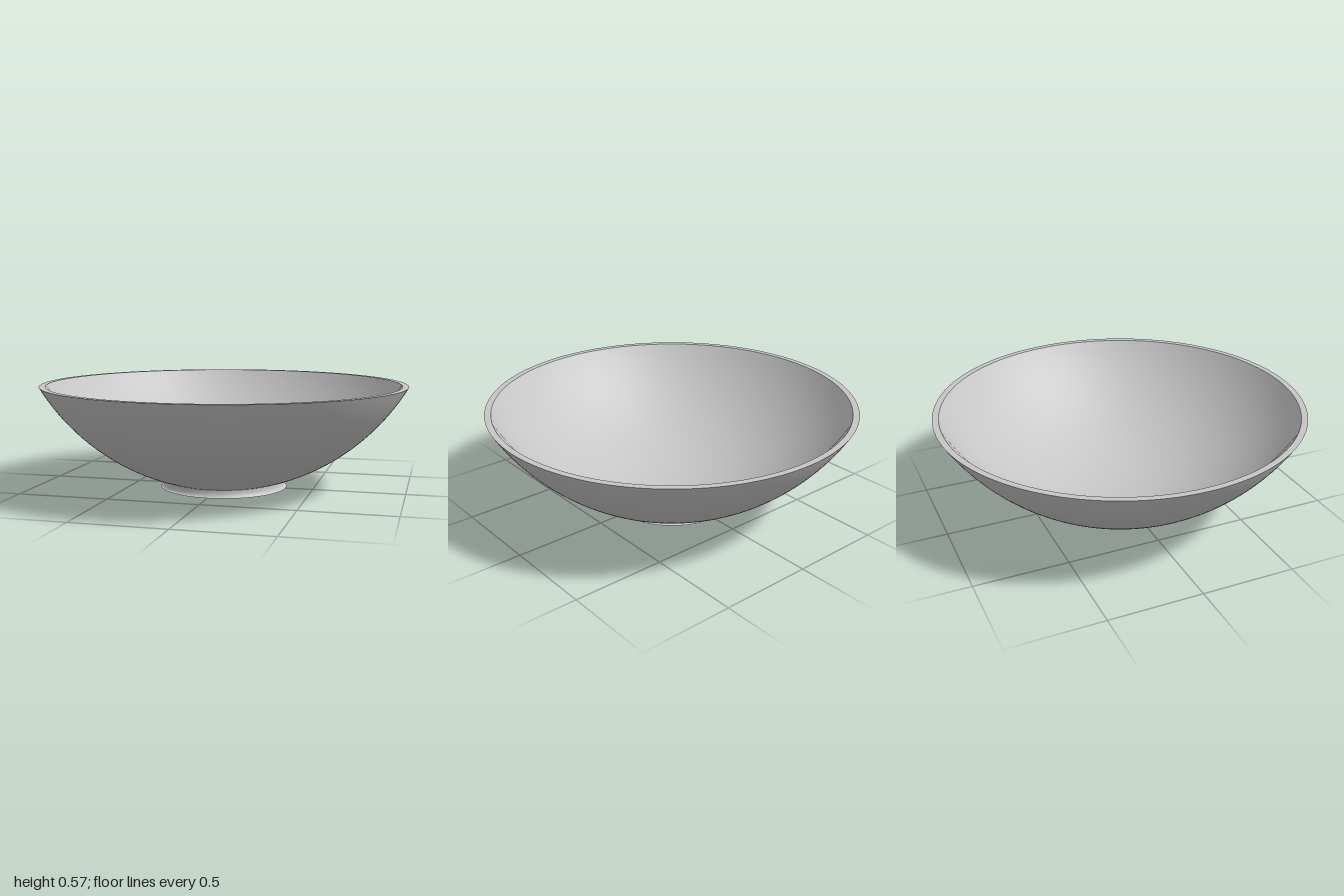
import * as THREE from 'three';

const SEGMENTS = 128;

// Circular arc centred on the axis at height cy, from radius x0 to radius x1 (lower half)
function bowlArc(cy, R, x0, x1, n = 40) {
  const a0 = Math.asin(x0 / R), a1 = Math.asin(x1 / R);
  return Array.from({ length: n + 1 }, (_, i) => {
    const a = a0 + (a1 - a0) * i / n;
    return new THREE.Vector2(Math.max(0, R * Math.sin(a)), cy - R * Math.cos(a));
  });
}

// Concave fillet as a quadratic curve
function fillet(ax, ay, bx, by, cx, cy) {
  const v = (x, y) => new THREE.Vector2(x, y);
  return new THREE.QuadraticBezierCurve(v(ax, ay), v(bx, by), v(cx, cy)).getPoints(10);
}

export function createModel() {
  const group = new THREE.Group();
  group.name = 'bowl';
  const grey = new THREE.MeshStandardMaterial({ color: 0xc6c6c6 });
  grey.name = 'light grey';

  const rimY = 0.57;
  const outer = bowlArc(1.146, 1.154, 0.33, 1);
  const inner = bowlArc(1.185, 1.145, 0.966, 0);
  outer[outer.length - 1].set(1, rimY);
  inner[0].set(0.966, rimY);
  const footTop = outer[0].y;
  const line = (...p) => p.map(([x, y]) => new THREE.Vector2(x, y));

  // Separate profile runs keep the edges between them sharp
  const profiles = {
    footRecess: line([0, 0.026], [0.272, 0.026]),
    footInnerWall: fillet(0.272, 0.026, 0.286, 0.024, 0.294, 0),
    footRing: line([0.294, 0], [0.35, 0]),
    footOuterWall: fillet(0.35, 0, 0.33, 0.005, 0.33, footTop),
    outerWall: outer,
    rim: line([1, rimY], [0.966, rimY]),
    innerWall: inner,
  };
  for (const [name, points] of Object.entries(profiles)) {
    const mesh = new THREE.Mesh(new THREE.LatheGeometry(points, SEGMENTS), grey);
    mesh.name = name;
    group.add(mesh);
  }
  return group;
}
